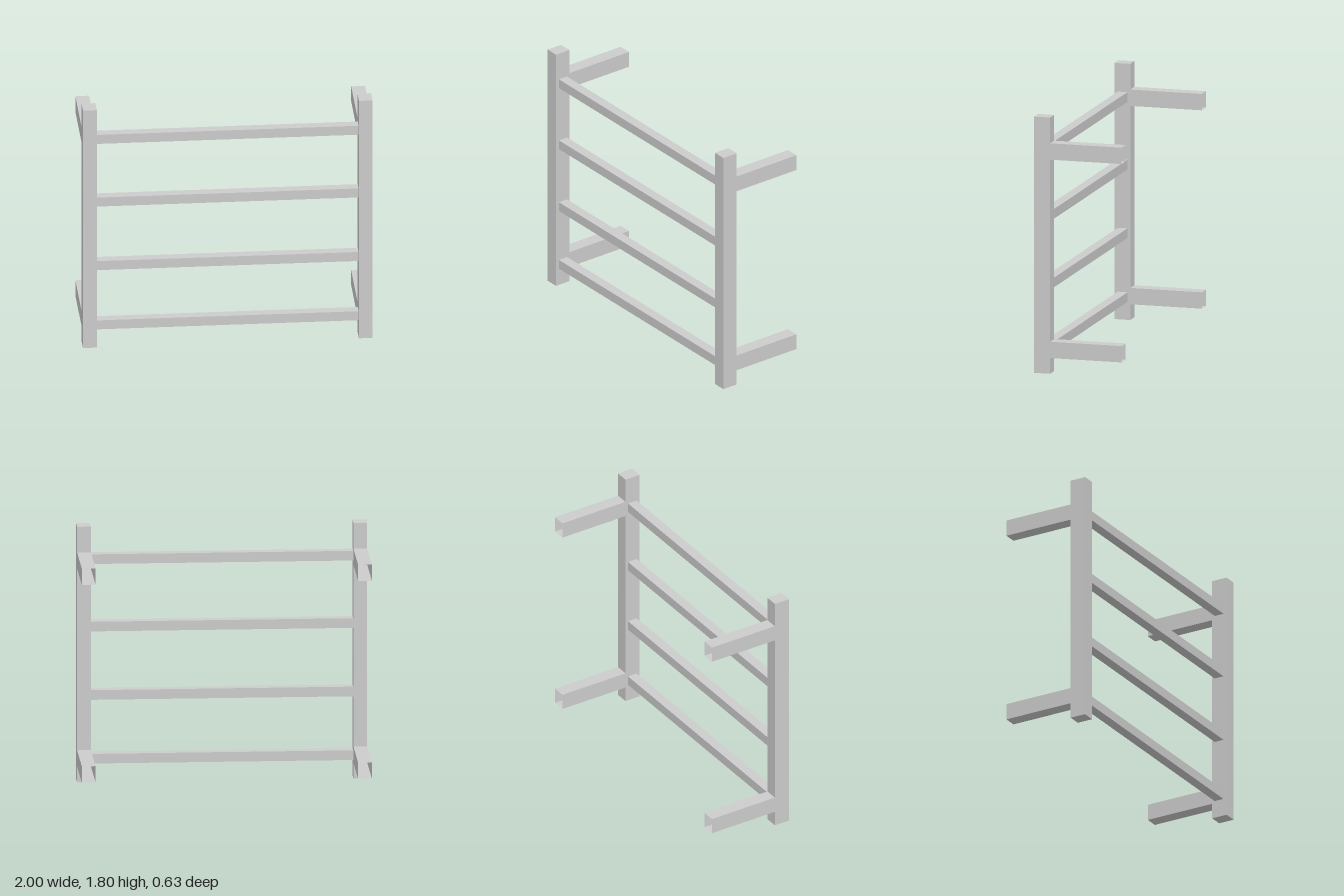
import * as THREE from 'three';

export function createModel() {
  const group = new THREE.Group();
  const solid = new THREE.MeshStandardMaterial({ color: 0xcccccc, flatShading: true });
  const open = new THREE.MeshStandardMaterial({ color: 0xcccccc, flatShading: true, side: THREE.DoubleSide });

  const add = (name, geometry, material, x, y, z) => {
    const mesh = new THREE.Mesh(geometry, material);
    mesh.name = name;
    mesh.position.set(x, y, z);
    group.add(mesh);
  };

  const postW = 0.095, postD = 0.115, height = 1.8, depth = 0.63;
  const postX = 1 - postW / 2;
  const postZ = depth / 2 - postD / 2;

  // Wall bracket: square tube without end faces, open towards the wall
  const bracketL = depth - postD;
  const bracketGeo = new THREE.BoxGeometry(postW, 0.115, bracketL);
  bracketGeo.setIndex(Array.from(bracketGeo.index.array.slice(0, 24)));
  bracketGeo.clearGroups();

  // Upright posts with two brackets each
  const postGeo = new THREE.BoxGeometry(postW, height, postD);
  for (const [side, s] of [['left', 1], ['right', -1]]) {
    add(`${side}Post`, postGeo, solid, s * postX, height / 2, postZ);
    add(`${side}LowerBracket`, bracketGeo, open, s * postX, 0.168, -postD / 2);
    add(`${side}UpperBracket`, bracketGeo, open, s * postX, 1.562, -postD / 2);
  }

  // Horizontal rails between the posts
  const railGeo = new THREE.BoxGeometry(2 - 2 * postW, 0.068, 0.07);
  [0.16, 0.609, 1.091, 1.566].forEach((y, i) => add(`rail${i + 1}`, railGeo, solid, 0, y, 0.255));

  return group;
}
